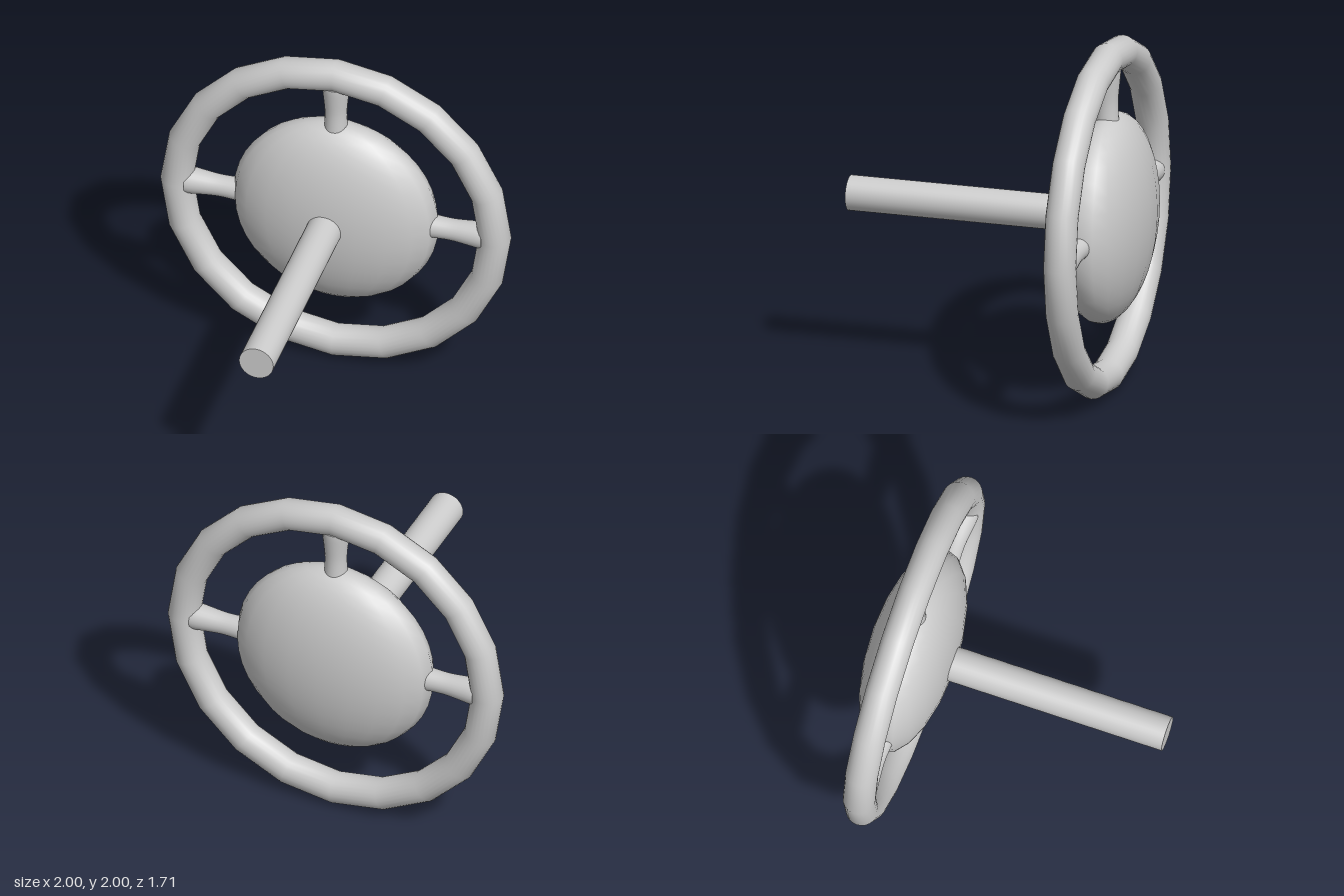
import * as THREE from 'three';

const CENTRE_Y = 1;
const WHEEL_Z = -0.61;

export function createModel() {
  const group = new THREE.Group();
  const material = new THREE.MeshStandardMaterial({ color: 0xcccccc });

  const add = (name, geometry, z) => {
    const mesh = new THREE.Mesh(geometry, material);
    mesh.name = name;
    mesh.position.set(0, CENTRE_Y, z);
    group.add(mesh);
    return mesh;
  };

  // Rim: twenty straight segments with a round section
  add('rim', new THREE.TorusGeometry(0.91, 0.09, 24, 20), WHEEL_Z);

  // Hub: flattened ball
  const hub = new THREE.SphereGeometry(1, 20, 20).scale(0.585, 0.585, 0.24);
  add('hub', hub, -0.615);

  // Spokes: waisted rods, one upward and one to each side
  const profile = new THREE.SplineCurve([
    new THREE.Vector2(0.066, 0.55),
    new THREE.Vector2(0.062, 0.62),
    new THREE.Vector2(0.062, 0.68),
    new THREE.Vector2(0.068, 0.75),
    new THREE.Vector2(0.075, 0.82),
    new THREE.Vector2(0.076, 0.85),
  ]).getPoints(12);
  // Close both ends with flat caps, doubling the corner for a crisp edge
  const first = profile[0], last = profile[profile.length - 1];
  const outline = [new THREE.Vector2(0, first.y), first.clone(), ...profile,
    last.clone(), new THREE.Vector2(0, last.y)];
  const spokeGeometry = new THREE.LatheGeometry(outline, 24);
  const spokes = { topSpoke: 0, leftSpoke: -Math.PI / 2, rightSpoke: Math.PI / 2 };
  for (const [name, angle] of Object.entries(spokes)) {
    add(name, spokeGeometry, WHEEL_Z).rotation.z = angle;
  }

  // Steering column: runs forward from the hub
  const front = 0.855, back = -0.45;
  const column = new THREE.CylinderGeometry(0.098, 0.098, front - back, 32).rotateX(Math.PI / 2);
  add('column', column, (front + back) / 2);

  return group;
}
